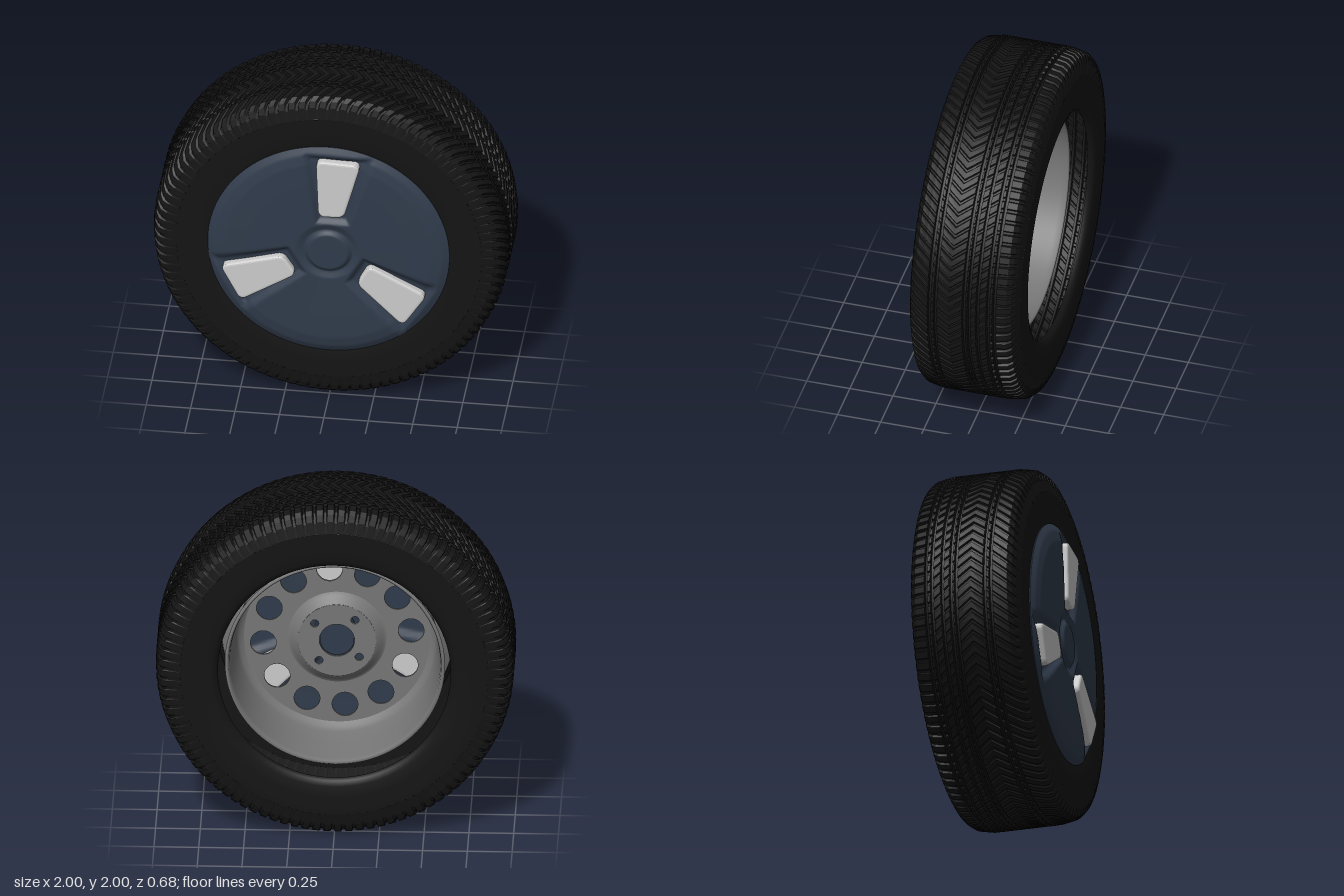
import * as THREE from 'three';

const TAU = Math.PI * 2;
const mat = (color, flatShading = false) =>
  new THREE.MeshStandardMaterial({ color, flatShading, side: THREE.DoubleSide });
const rubber = mat(0x141414);
const treadRubber = mat(0x141414, true);
const steel = mat(0x777777);
const bluePaint = mat(0x303b4b);
const grey = mat(0xcccccc);

function add(parent, name, geometry, material) {
  const mesh = new THREE.Mesh(geometry, material);
  mesh.name = name;
  parent.add(mesh);
  return mesh;
}

// Linear interpolation through [key, value] pairs
function sample(table, k) {
  for (let i = 1; i < table.length; i++) {
    const [a, va] = table[i - 1], [b, vb] = table[i];
    if (k <= b) return va + (vb - va) * Math.max(0, (k - a) / (b - a));
  }
  return table[table.length - 1][1];
}

// Surface of revolution about z from [radius, z] pairs
function revolve(profile, segments = 96) {
  return new THREE.LatheGeometry(profile.map(([r, z]) => new THREE.Vector2(r, z)), segments)
    .rotateX(Math.PI / 2);
}

// Tread: sheared columns form the herringbone cuts, lowered rows the ring grooves
function treadGeometry() {
  const mid = -0.025;
  const crown = [[0, 1], [0.19, 1], [0.265, 0.985], [0.29, 0.965], [0.303, 0.93], [0.315, 0.86]];
  const rows = [];
  const addRow = (z, groove, cut) => rows.push({ z, groove, cut });
  for (const w of [0.265, 0.29, 0.303, 0.315]) {
    const cut = { 0.265: 0.016, 0.29: 0.016, 0.303: 0.01, 0.315: 0 }[w];
    addRow(mid + w, 0, cut);
    addRow(mid - w, 0, cut);
  }
  for (const z of [0.035, -0.105, -0.16, 0.2]) addRow(z, 0, 0.012);
  for (const g of [0.15, 0.115, -0.05, -0.08, -0.13, -0.19, -0.225]) {
    for (const s of [-1, 1]) {
      addRow(g + s * 0.01, 0, 0.012);
      addRow(g + s * 0.007, 0.025, 0);
    }
  }
  rows.sort((a, b) => a.z - b.z);

  const cuts = 100, steps = [0, 0.22, 0.32, 0.9], columns = cuts * 4;
  const positions = [], index = [];
  rows.forEach(({ z, groove, cut }, i) => {
    const shear = 0.8 * Math.min(Math.abs(z - 0.035), 0.24);
    for (let j = 0; j < columns; j++) {
      const angle = ((Math.floor(j / 4) + steps[j % 4]) / cuts) * TAU + shear;
      const r = sample(crown, Math.abs(z - mid)) - groove - (j % 4 < 2 ? cut : 0);
      positions.push(r * Math.cos(angle), r * Math.sin(angle), z);
      if (i === 0) continue;
      const a = (i - 1) * columns + j, b = (i - 1) * columns + (j + 1) % columns;
      index.push(a, b, b + columns, a, b + columns, a + columns);
    }
  });
  const geometry = new THREE.BufferGeometry();
  geometry.setAttribute('position', new THREE.Float32BufferAttribute(positions, 3));
  geometry.setIndex(index);
  geometry.computeVertexNormals();
  return geometry;
}

// Corners run clockwise; the result is negative inside the convex outline
function outlineDistance(corners, x, y) {
  return Math.max(...corners.map(([ax, ay], i) => {
    const [bx, by] = corners[(i + 1) % corners.length];
    return ((bx - ax) * (y - ay) - (by - ay) * (x - ax)) / Math.hypot(bx - ax, by - ay);
  }));
}

// Wheel cover: a shallow dome with three sunken pockets
function coverGeometry() {
  const dome = [[0, 0.334], [0.11, 0.333], [0.122, 0.328], [0.13, 0.312], [0.14, 0.312],
    [0.18, 0.327], [0.45, 0.33], [0.58, 0.326], [0.64, 0.314], [0.68, 0.293]];
  const pocket = [[-0.14, 0.635], [0.255, 0.625], [0.125, 0.18], [-0.075, 0.18]];
  const geometry = new THREE.PlaneGeometry(1, 1, 192, 76);
  const p = geometry.attributes.position;
  for (let i = 0; i < p.count; i++) {
    const angle = -Math.PI / 2 - (p.getX(i) + 0.5) * TAU;
    const r = 0.68 * (p.getY(i) + 0.5);
    let z = sample(dome, r);
    for (let k = 0; k < 3; k++) {
      const a = angle + k * TAU / 3;
      const d = outlineDistance(pocket, r * Math.cos(a), r * Math.sin(a));
      z -= 0.03 * (1 - THREE.MathUtils.smoothstep(d, -0.04, 0.005));
    }
    p.setXYZ(i, r * Math.cos(angle), r * Math.sin(angle), z);
  }
  geometry.computeVertexNormals();
  return geometry;
}

// Rounded, bevelled insert that fills a pocket
function insertGeometry() {
  const corners = [[-0.05, 0.59], [0.165, 0.58], [0.078, 0.255], [-0.038, 0.25]]
    .map(([x, y]) => new THREE.Vector2(x, y));
  const shape = new THREE.Shape();
  corners.forEach((c, i) => {
    const before = corners[(i + 3) % 4], after = corners[(i + 1) % 4];
    const a = c.clone().add(before.clone().sub(c).setLength(0.025));
    const b = c.clone().add(after.clone().sub(c).setLength(0.025));
    if (i === 0) shape.moveTo(a.x, a.y); else shape.lineTo(a.x, a.y);
    shape.quadraticCurveTo(c.x, c.y, b.x, b.y);
  });
  shape.closePath();
  return new THREE.ExtrudeGeometry(shape, {
    depth: 0.045, bevelThickness: 0.012, bevelSize: 0.016, bevelSegments: 3, curveSegments: 5,
  }).translate(0, 0, 0.283);
}

// Flat plate with a bore and a ring of round holes
function drilledPlate(outer, bore, ringRadius, holeRadius, count, start, depth) {
  const shape = new THREE.Shape().absarc(0, 0, outer, 0, TAU);
  const drill = (x, y, r) => shape.holes.push(new THREE.Path().absarc(x, y, r, 0, TAU, true));
  drill(0, 0, bore);
  for (let i = 0; i < count; i++) {
    const a = start + i * TAU / count;
    drill(ringRadius * Math.cos(a), ringRadius * Math.sin(a), holeRadius);
  }
  return new THREE.ExtrudeGeometry(shape, { depth, bevelEnabled: false, curveSegments: 32 });
}

export function createModel() {
  const wheel = new THREE.Group();
  wheel.name = 'wheel';
  wheel.position.y = 1;

  const tyre = new THREE.Group();
  tyre.name = 'tyre';
  wheel.add(tyre);
  add(tyre, 'tread', treadGeometry(), treadRubber);
  add(tyre, 'frontSidewall',
    revolve([[0.65, 0.25], [0.655, 0.275], [0.68, 0.287], [0.76, 0.29], [0.86, 0.29]]), rubber);
  add(tyre, 'backSidewall',
    revolve([[0.86, -0.34], [0.76, -0.34], [0.69, -0.337], [0.66, -0.325], [0.65, -0.3]]), rubber);

  const rim = new THREE.Group();
  rim.name = 'rim';
  wheel.add(rim);
  add(rim, 'barrel', revolve([[0.615, -0.2], [0.605, -0.212], [0.594, -0.205], [0.588, -0.17],
    [0.575, 0], [0.56, 0.12], [0.545, 0.155], [0.52, 0.17]]), steel);
  add(rim, 'frontFlange', revolve([[0.53, 0.17], [0.56, 0.2], [0.62, 0.24], [0.65, 0.26]]), steel);
  const turn = THREE.MathUtils.degToRad(-6);
  add(rim, 'ventedFace', drilledPlate(0.53, 0.27, 0.415, 0.072, 12, turn, 0.012), steel)
    .position.z = 0.17;
  add(rim, 'hubSlope', revolve([[0.275, 0.17], [0.258, 0.162], [0.232, 0.13], [0.215, 0.12]]), steel);
  add(rim, 'hubPlate', drilledPlate(0.218, 0.098, 0.16, 0.023, 4, turn + Math.PI / 4, 0.015), steel)
    .position.z = 0.12;

  const cover = new THREE.Group();
  cover.name = 'wheelCover';
  wheel.add(cover);
  add(cover, 'coverDisc', coverGeometry(), bluePaint);
  add(cover, 'coverEdge', revolve([[0.67, 0.265], [0.68, 0.293]]), bluePaint);
  // Dark spigot seen through the hub bore
  add(cover, 'hubSpigot', new THREE.CylinderGeometry(0.096, 0.096, 0.17, 32)
    .rotateX(Math.PI / 2).translate(0, 0, 0.22), bluePaint);
  const insert = insertGeometry();
  for (let i = 0; i < 3; i++) {
    add(cover, 'coverInsert', insert, grey).rotation.z = i * TAU / 3;
  }

  const model = new THREE.Group();
  model.name = 'carWheel';
  model.add(wheel);
  return model;
}
